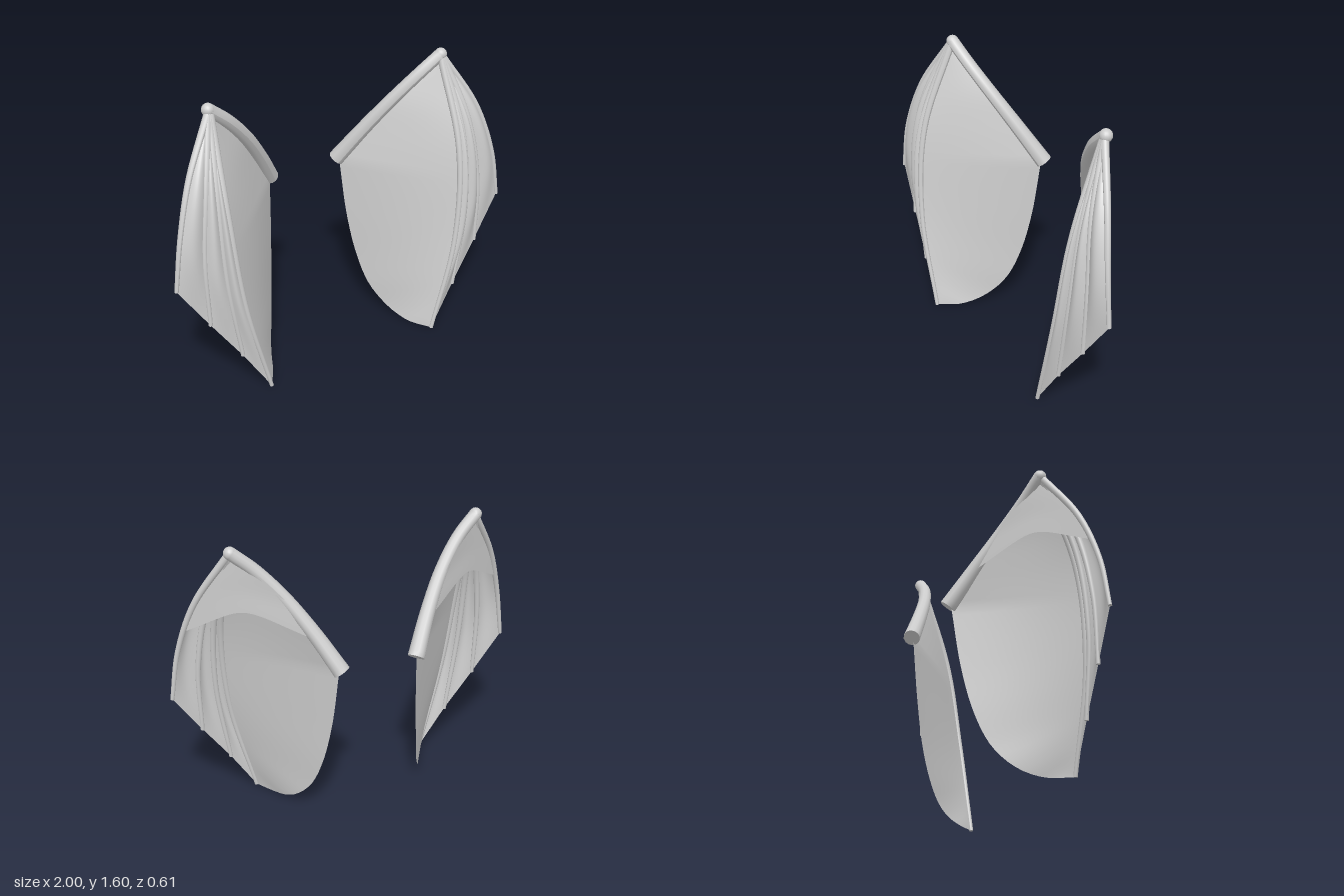
import * as THREE from 'three';

const skin = new THREE.MeshStandardMaterial({ color: 0xcccccc, side: THREE.DoubleSide });
skin.name = 'pale grey';

// Centre lines of one wing (x is mirrored for the other one)
const ARM = [[0.685, 1.57, 0.02], [0.57, 1.47, -0.01], [0.44, 1.32, -0.075], [0.32, 1.14, -0.165], [0.21, 0.945, -0.265]];
const FINGERS = [
  [[0.69, 1.56, 0.03], [0.855, 1.28, 0.13], [0.945, 1.0, 0.185], [0.99, 0.72, 0.2]],
  [[0.69, 1.56, 0.03], [0.785, 1.22, 0.165], [0.835, 0.86, 0.215], [0.83, 0.48, 0.23]],
  [[0.685, 1.56, 0.03], [0.737, 1.15, 0.19], [0.735, 0.72, 0.25], [0.67, 0.25, 0.26]],
  [[0.68, 1.56, 0.03], [0.698, 1.08, 0.215], [0.653, 0.56, 0.282], [0.52, 0.01, 0.285]],
];
// Upper edge behind the arm, then the free rounded trailing edge
const UPPER = [[0.68, 1.56, 0.02], [0.56, 1.45, -0.05], [0.43, 1.3, -0.12], [0.32, 1.13, -0.19], [0.22, 0.94, -0.25]];
const TRAILING = [[0.22, 0.94, -0.25], [0.245, 0.6, -0.205], [0.28, 0.35, -0.15], [0.32, 0.18, -0.08],
  [0.37, 0.08, 0], [0.41, 0.03, 0.08], [0.45, 0.008, 0.17], [0.52, 0.01, 0.285]];

function createWing(side) {
  const wing = new THREE.Group();
  const vec = (p) => new THREE.Vector3(p[0] * side, p[1], p[2]);
  const curve = (pts) => new THREE.CatmullRomCurve3(pts.map(vec), false, 'centripetal');
  const add = (name, geometry) => {
    const mesh = new THREE.Mesh(geometry, skin);
    mesh.name = name;
    wing.add(mesh);
    return mesh;
  };

  // Tapered tube with closed ends
  function limb(name, path, radius) {
    const rings = 32, sides = 12;
    const geo = new THREE.TubeGeometry(path, rings, 1, sides);
    const pos = geo.attributes.position;
    const p = new THREE.Vector3();
    for (let i = 0; i < pos.count; i++) {
      const t = Math.floor(i / (sides + 1)) / rings;
      const c = path.getPointAt(t);
      p.fromBufferAttribute(pos, i).sub(c).multiplyScalar(radius(t)).add(c);
      pos.setXYZ(i, p.x, p.y, p.z);
    }
    geo.computeVertexNormals();
    add(name, geo);
    const cap = add(name + 'End', new THREE.CircleGeometry(radius(1), sides));
    cap.position.copy(path.getPointAt(1));
    cap.lookAt(cap.position.clone().add(path.getTangentAt(1)));
  }

  // Surface from a rule point(u, v)
  function sheet(name, nu, nv, point) {
    const geo = new THREE.PlaneGeometry(1, 1, nu, nv);
    const pos = geo.attributes.position;
    for (let j = 0, k = 0; j <= nv; j++) {
      for (let i = 0; i <= nu; i++, k++) {
        const p = point(i / nu, j / nv);
        pos.setXYZ(k, p.x, p.y, p.z);
      }
    }
    // Front faces point towards +z on both wings
    if (side > 0) {
      const idx = geo.index.array;
      for (let i = 0; i < idx.length; i += 3) [idx[i], idx[i + 1]] = [idx[i + 1], idx[i]];
    }
    geo.computeVertexNormals();
    add(name, geo);
  }

  // Arm and wrist
  const arm = curve(ARM);
  limb('arm', arm, (t) => 0.034 + 0.012 * t * t);
  const wrist = add('wrist', new THREE.SphereGeometry(0.034, 16, 12));
  wrist.position.copy(arm.getPointAt(0));

  // Finger bones
  const fingers = FINGERS.map(curve);
  fingers.forEach((path) => limb('finger', path, (t) => 0.02 - 0.009 * t));

  // Billowing webs between the fingers
  const swell = new THREE.Vector3(0.3 * side, 0, 0.95);
  for (let f = 0; f < 3; f++) {
    sheet('fingerWeb', 12, 28, (u, v) => fingers[f].getPointAt(v)
      .lerp(fingers[f + 1].getPointAt(v), u)
      .addScaledVector(swell, 0.035 * Math.sin(Math.PI * u) * Math.sin(Math.PI * v)));
  }

  // Large inner membrane from the last finger to the arm and trailing edge
  const upper = curve(UPPER), trailing = curve(TRAILING);
  const split = 0.42;
  sheet('innerMembrane', 16, 50, (u, v) => {
    const edge = v < split ? upper.getPointAt(v / split) : trailing.getPointAt((v - split) / (1 - split));
    const p = fingers[3].getPointAt(v).lerp(edge, u);
    p.z += 0.02 * Math.sin(Math.PI * u) * Math.sin(Math.PI * v);
    return p;
  });

  // Small web behind the wrist, with an arched free edge
  const peak = vec([0.685, 1.56, 0.02]);
  sheet('wristWeb', 24, 20, (u, v) => {
    const a = fingers[0].getPointAt(v * 0.56), b = upper.getPointAt(v * 0.76);
    const p = a.lerp(b, u);
    return p.lerp(peak, 0.3 * v * Math.sin(Math.PI * u));
  });
  return wing;
}

export function createModel() {
  const model = new THREE.Group();
  model.name = 'wings';
  for (const side of [1, -1]) {
    const wing = createWing(side);
    wing.name = side > 0 ? 'leftWing' : 'rightWing';
    model.add(wing);
  }
  return model;
}
